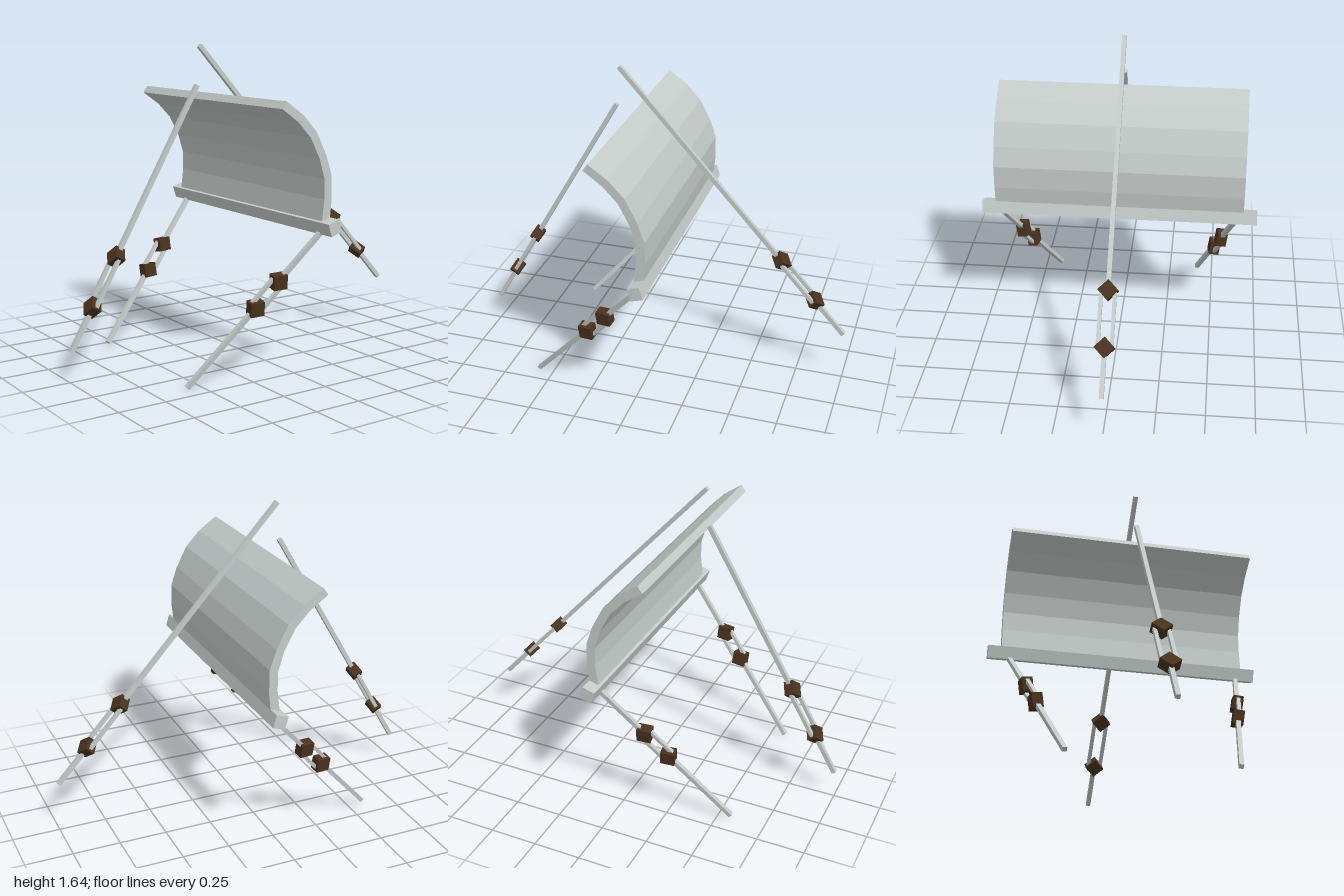
import * as THREE from 'three';

const steel = new THREE.MeshStandardMaterial({ color: 0xc4cbc9, flatShading: true });
steel.name = 'pale steel';
const brown = new THREE.MeshStandardMaterial({ color: 0x4a321e, flatShading: true });
brown.name = 'dark brown';

const V = (x, y, z) => new THREE.Vector3(x, y, z);

function addMesh(parent, name, geometry, material) {
  const mesh = new THREE.Mesh(geometry, material);
  mesh.name = name;
  parent.add(mesh);
  return mesh;
}

// A brace from a to b with a turnbuckle between fractions t0 and t1.
// Local y runs along the brace, local x is the spread of the two side links.
function brace(name, a, b, t0, t1, spread) {
  const group = new THREE.Group();
  group.name = name;
  const length = a.distanceTo(b);
  const along = b.clone().sub(a).normalize();
  const side = spread.clone().addScaledVector(along, -spread.dot(along)).normalize();
  const out = side.clone().cross(along);
  group.quaternion.setFromRotationMatrix(new THREE.Matrix4().makeBasis(side, along, out));
  group.position.copy(a);

  const bar = (label, from, to, x, size) => {
    const m = addMesh(group, label, new THREE.BoxGeometry(size, to - from, size), steel);
    m.position.set(x, (from + to) / 2, 0);
  };
  const n0 = t0 * length, n1 = t1 * length;
  bar('upperRod', 0, n0, 0, 0.023);
  bar('lowerRod', n1, length, 0, 0.023);
  for (const s of [-1, 1]) bar('sideLink', n0, n1, s * 0.034, 0.019);

  // diamond-set end blocks
  for (const n of [n0, n1]) {
    const block = addMesh(group, 'endBlock', new THREE.BoxGeometry(0.073, 0.073, 0.054), brown);
    block.position.y = n;
    block.rotation.z = Math.PI / 4;
  }
  return group;
}

export function createModel() {
  const model = new THREE.Group();
  model.name = 'bracedBlade';

  // Curved plate: outer profile down, inner profile back up
  const profile = [
    [-0.17, 1.39], [-0.07, 1.32], [0.01, 1.236], [0.07, 1.12], [0.104, 1.02], [0.106, 0.9], [0.095, 0.79],
    [0.047, 0.79], [0.061, 0.905], [0.06, 1.005], [0.03, 1.105], [-0.026, 1.21], [-0.1, 1.288], [-0.195, 1.355],
  ];
  const shape = new THREE.Shape(profile.map(([x, y]) => new THREE.Vector2(x, y)));
  const plate = addMesh(model, 'curvedPlate',
    new THREE.ExtrudeGeometry(shape, { depth: 1.3, bevelEnabled: false }), steel);
  plate.position.z = -0.65;

  // Tilted beam along the bottom of the plate
  const beam = addMesh(model, 'bottomBeam', new THREE.BoxGeometry(0.066, 0.066, 1.44), steel);
  beam.position.set(0.075, 0.773, 0);
  beam.rotation.z = 0.3;

  // Long centre braces
  const zAxis = V(0, 0, 1);
  model.add(brace('frontBrace', V(-0.237, 1.632, 0), V(0.99, 0.272, 0), 0.715, 0.867, zAxis));
  model.add(brace('rearBrace', V(-0.253, 1.432, 0), V(-0.99, 0.155, 0), 0.65, 0.836, zAxis));

  // Corner legs
  const acrossLeg = V(0.74, -0.67, 0);
  model.add(brace('leftLeg', V(0.065, 0.742, 0.622), V(-0.58, 0.012, 0.412), 0.32, 0.492, acrossLeg));
  model.add(brace('rightLeg', V(0.065, 0.742, -0.608), V(-0.572, 0.032, -0.412), 0.335, 0.515, acrossLeg));

  return model;
}
